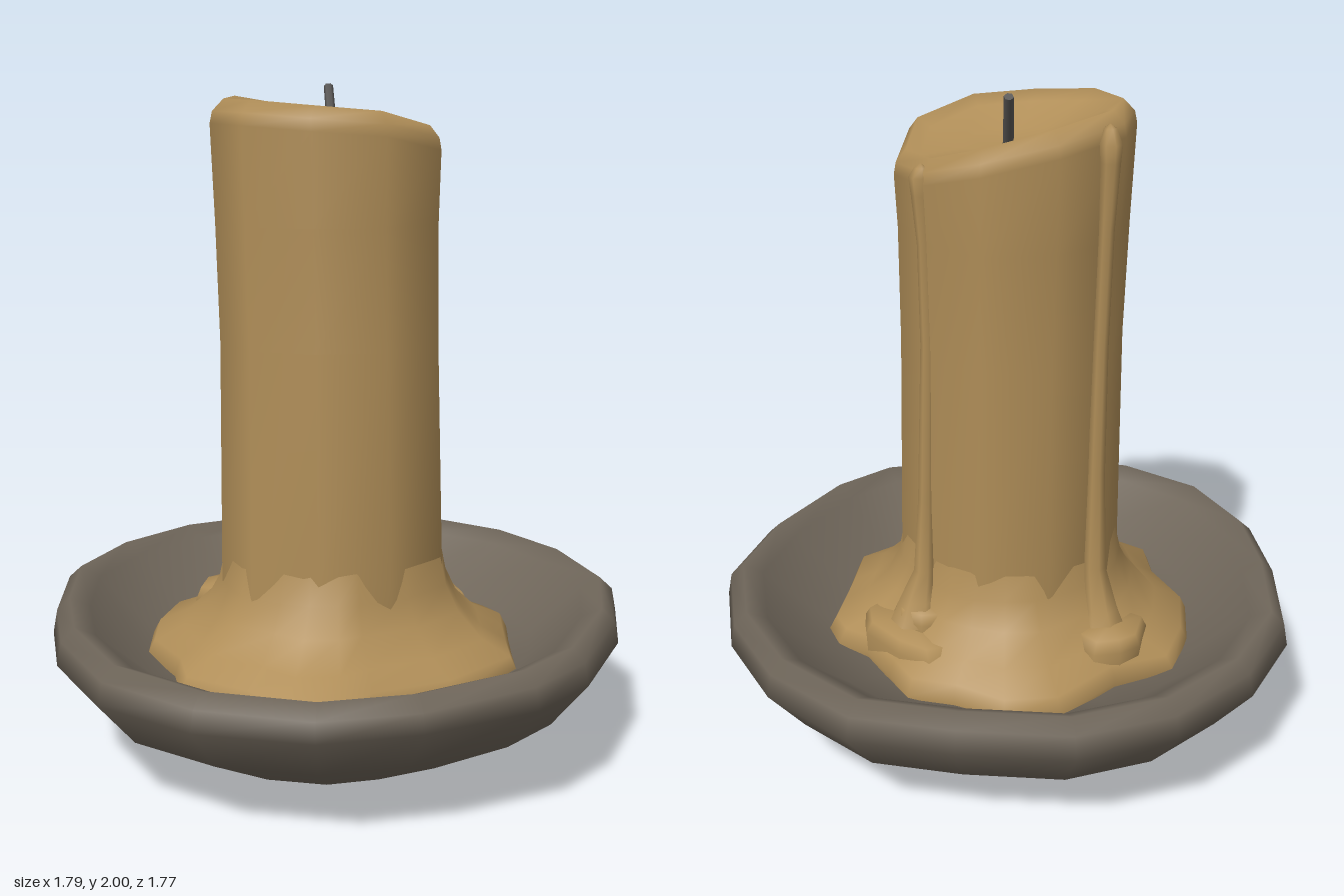
import * as THREE from 'three';

const wax = new THREE.MeshStandardMaterial({ color: 0xb08e58 });
wax.name = 'tan wax';
const clay = new THREE.MeshStandardMaterial({ color: 0x6f665a });
clay.name = 'grey brown clay';
const char = new THREE.MeshStandardMaterial({ color: 0x5a5856 });
char.name = 'charred wick grey';

// Skins a list of rings (from underside, up, then inward); a one-point ring closes an end.
function loft(name, rings, material) {
  const pos = [], index = [], start = [];
  rings.forEach(r => { start.push(pos.length / 3); r.forEach(p => pos.push(...p)); });
  for (let k = 0; k + 1 < rings.length; k++) {
    const a = start[k], b = start[k + 1];
    const na = rings[k].length, nb = rings[k + 1].length, n = Math.max(na, nb);
    for (let i = 0; i < n; i++) {
      const j = (i + 1) % n;
      if (na > 1) index.push(a + j, a + i, nb > 1 ? b + i : b);
      if (nb > 1) index.push(b + i, b + j, na > 1 ? a + j : a);
    }
  }
  const geo = new THREE.BufferGeometry();
  geo.setAttribute('position', new THREE.Float32BufferAttribute(pos, 3));
  geo.setIndex(index);
  geo.computeVertexNormals();
  const mesh = new THREE.Mesh(geo, material);
  mesh.name = name;
  return mesh;
}

// Plan outlines as [x, z], running back, left (+x), front, right (-x)
const dishOutline = [[-.18, -.89], [.12, -.88], [.42, -.74], [.68, -.58], [.84, -.3], [.89, 0],
  [.84, .32], [.66, .57], [.38, .8], [.16, .88], [-.18, .86], [-.46, .79], [-.72, .59],
  [-.88, .32], [-.9, 0], [-.83, -.28], [-.7, -.58], [-.47, -.78]];
const poolOutline = [[.04, -.57], [.2, -.53], [.31, -.4], [.43, -.32], [.45, -.2], [.48, -.05],
  [.55, .03], [.56, .12], [.5, .22], [.44, .33], [.37, .47], [.1, .55], [-.15, .53], [-.28, .58],
  [-.43, .52], [-.47, .35], [-.59, .17], [-.55, .02], [-.57, -.17], [-.49, -.34], [-.37, -.48], [-.18, -.47]];
// Candle outline as [x, z, rim height]
const candleOutline = [[-.02, -.36, 1.94], [.18, -.29, 1.89], [.29, -.13, 1.84], [.31, .07, 1.825],
  [.22, .23, 1.88], [0, .31, 1.92], [-.2, .24, 1.935], [-.35, .1, 1.95], [-.36, -.1, 1.955], [-.24, -.29, 1.965]];

function makeDish() {
  // [scale, height, share of rim waviness]
  const profile = [[.28, .005, 0], [.53, .03, 0], [.87, .21, 0], [1, .36, .4], [.985, .43, 1],
    [.94, .468, 1], [.87, .435, .8], [.69, .29, 0], [.48, .24, 0]];
  const rings = profile.map(([s, y, w]) => dishOutline.map(([x, z]) => {
    const dip = .028 * Math.max(0, z / .9) * (x < .1 ? 1 : .4);
    return [x * s, y - dip * w, z * s];
  }));
  return loft('dish', [[[0, 0, 0]], ...rings, [[0, .22, 0]]], clay);
}

function makeCandle() {
  // Gently leaning shaft: [height, scale, z shift]
  const shaft = [[.25, 1, .04], [.57, 1, .04], [1.25, .965, .02], [1.6, .975, .005]];
  const rings = shaft.map(([y, s, dz]) => candleOutline.map(([x, z]) => [x * s, y, z * s + dz]));
  // Rounded lip and melted hollow: [scale, drop below rim, pull toward hollow floor]
  const lip = [[1, .07, 0], [.98, .035, 0], [.89, 0, 0], [.76, .02, .1], [.4, .02, .75]];
  lip.forEach(([s, drop, pull]) => rings.push(candleOutline.map(([x, z, h]) =>
    [x * s, THREE.MathUtils.lerp(h - drop, 1.83, pull), z * s])));
  return loft('candle', [...rings, [[0, 1.815, -.03]]], wax);
}

// Distance to the candle side at the foot, in the direction of a point
function footRadius(x, z) {
  const d = Math.hypot(x, z), c = x / d, s = z / d, n = candleOutline.length;
  for (let i = 0; i < n; i++) {
    const [ax, az0] = candleOutline[i], [bx, bz0] = candleOutline[(i + 1) % n];
    const az = az0 + .04, bz = bz0 + .04;
    const u = ax * s - az * c, v = bx * s - bz * c;
    if (u * v <= 0) {
      const t = u / (u - v || 1), px = ax + (bx - ax) * t, pz = az + (bz - az) * t;
      if (px * c + pz * s > 0) return px * c + pz * s;
    }
  }
  return .33;
}

function makePool() {
  // Pool edge sweeping up to the candle foot: [share of way inward, height]
  const profile = [[.05, .23], [0, .275], [.1, .325], [.45, .365], [.76, .44], [.93, .52], [1.02, .62]];
  const rings = profile.map(([t, y]) => poolOutline.map(([x, z]) => {
    const d = Math.hypot(x, z);
    const k = THREE.MathUtils.lerp(1, footRadius(x, z) / d, t);
    return [x * k, y, z * k];
  }));
  return loft('waxPool', rings, wax);
}

// Thin run of wax: path points are [x, y, z, radius] from bottom to top
function makeDrip(name, path) {
  const rings = path.map(([x, y, z, r]) => Array.from({ length: 7 }, (_, i) => {
    const a = i / 7 * Math.PI * 2;
    return [x + r * Math.sin(a), y, z - r * Math.cos(a)];
  }));
  const [x, y, z] = path[path.length - 1];
  return loft(name, [...rings, [[x, y + .012, z]]], wax);
}

// Low rounded puddle on the pool
function makePuddle(name, outline, bottom, top) {
  const n = outline.length;
  const cx = outline.reduce((t, p) => t + p[0], 0) / n;
  const cz = outline.reduce((t, p) => t + p[1], 0) / n;
  const rings = [[.98, 0], [1, .55], [.85, .88]].map(([s, h]) => outline.map(([x, z]) =>
    [cx + (x - cx) * s, bottom + (top - bottom) * h, cz + (z - cz) * s]));
  return loft(name, [...rings, [[cx, top, cz]]], wax);
}

export function createModel() {
  const group = new THREE.Group();
  group.name = 'candleInDish';
  group.add(makeDish(), makePool(), makeCandle());

  // Left side drip with two stacked puddles
  group.add(makeDrip('leftDrip', [[.33, .4, -.1, .08], [.315, .47, -.09, .06], [.297, .56, -.088, .033],
    [.286, .8, -.088, .025], [.275, 1.3, -.1, .02], [.28, 1.6, -.108, .02], [.287, 1.74, -.108, .026],
    [.288, 1.79, -.105, .03], [.284, 1.815, -.105, .018]]));
  group.add(makePuddle('leftLowerPuddle', [[.25, -.3], [.35, -.29], [.42, -.2], [.48, -.05], [.46, .05],
    [.35, .11], [.2, 0]], .28, .4));
  group.add(makePuddle('leftUpperPuddle', [[.27, -.2], [.34, -.18], [.39, -.12], [.39, -.06], [.33, -.01],
    [.26, -.03], [.24, -.12]], .36, .46));

  // Back drip with its puddle
  group.add(makeDrip('backDrip', [[-.2, .36, -.34, .08], [-.195, .45, -.31, .055], [-.185, .58, -.282, .035],
    [-.182, .9, -.283, .026], [-.18, 1.3, -.295, .022], [-.18, 1.65, -.312, .022], [-.18, 1.84, -.325, .028],
    [-.18, 1.89, -.325, .032], [-.18, 1.93, -.315, .018]]));
  group.add(makePuddle('backPuddle', [[-.27, -.44], [-.2, -.455], [-.12, -.44], [-.09, -.37], [-.13, -.28],
    [-.28, -.26], [-.34, -.34]], .3, .42));

  // Leaning wick
  const foot = new THREE.Vector3(-.002, 1.8, -.015), tip = new THREE.Vector3(.04, 1.994, -.135);
  const dir = tip.clone().sub(foot);
  const wick = new THREE.Mesh(new THREE.CylinderGeometry(.014, .016, dir.length(), 6), char);
  wick.name = 'wick';
  wick.position.copy(foot).add(tip).multiplyScalar(.5);
  wick.quaternion.setFromUnitVectors(new THREE.Vector3(0, 1, 0), dir.normalize());
  group.add(wick);
  return group;
}
